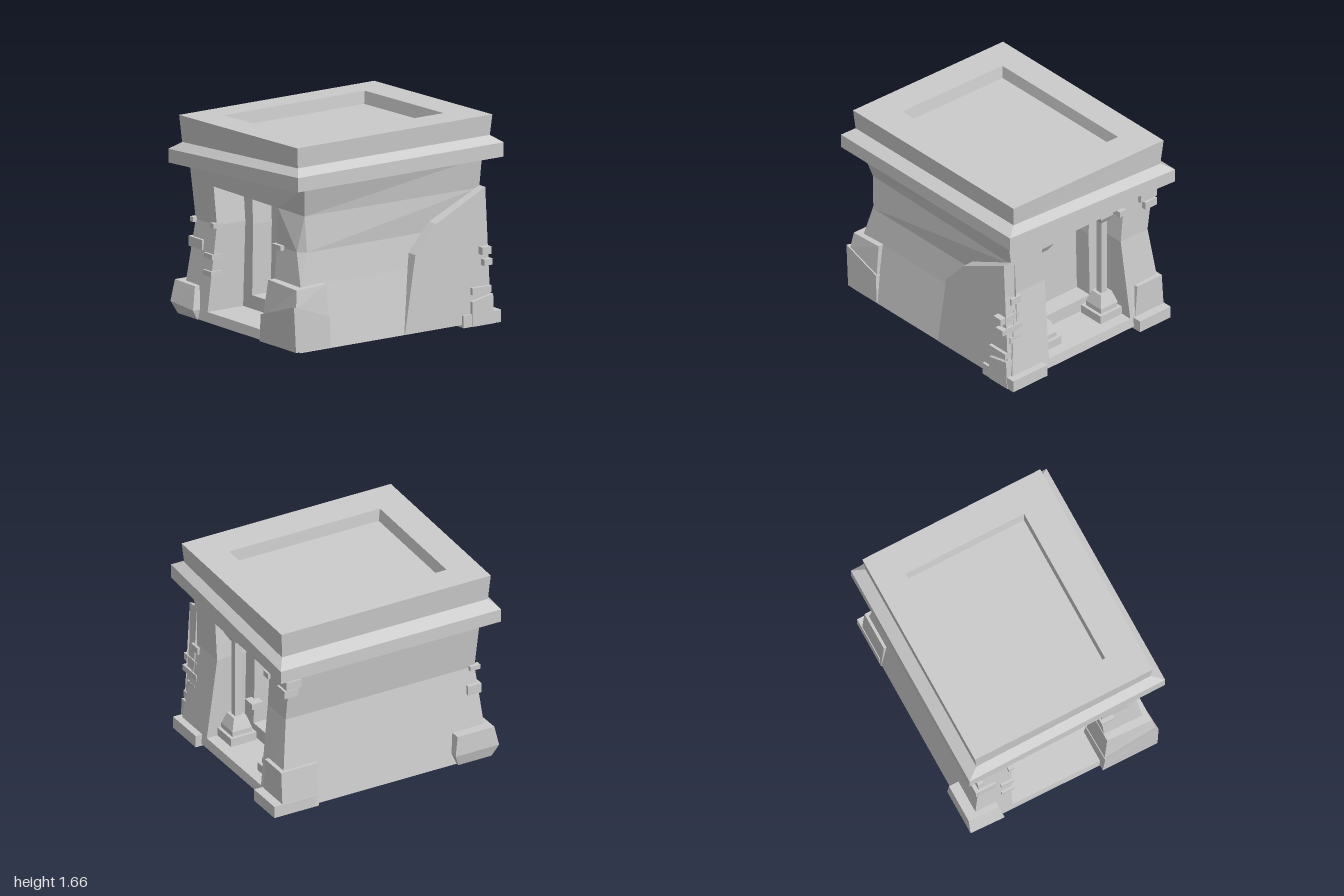
import * as THREE from 'three';

const material = new THREE.MeshStandardMaterial({ color: 0xcccccc, flatShading: true, side: THREE.DoubleSide });

// Skins a list of point loops; closed loops may be capped at either end.
function loft(name, rings, { closed = true, capStart = closed, capEnd = closed } = {}) {
  const pos = [];
  const tri = (...pts) => pts.forEach((p) => pos.push(...p));
  const n = rings[0].length;
  for (let i = 0; i < rings.length - 1; i++) {
    for (let j = 0; j < (closed ? n : n - 1); j++) {
      const k = (j + 1) % n;
      const a = rings[i][j], b = rings[i][k], c = rings[i + 1][k], d = rings[i + 1][j];
      tri(a, b, c);
      tri(a, c, d);
    }
  }
  const first = rings[0], last = rings[rings.length - 1];
  for (let j = 1; j < n - 1; j++) {
    if (capStart) tri(first[0], first[j + 1], first[j]);
    if (capEnd) tri(last[0], last[j], last[j + 1]);
  }
  const geometry = new THREE.BufferGeometry();
  geometry.setAttribute('position', new THREE.Float32BufferAttribute(pos, 3));
  geometry.computeVertexNormals();
  const mesh = new THREE.Mesh(geometry, material);
  mesh.name = name;
  return mesh;
}

// Rectangular loop whose height may differ between its -x and +x edges.
const rect = (x0, x1, z0, z1, yl, yr = yl) => [[x0, yl, z1], [x1, yr, z1], [x1, yr, z0], [x0, yl, z0]];

function brick(name, x0, x1, y0, y1, z0, z1) {
  const mesh = new THREE.Mesh(new THREE.BoxGeometry(x1 - x0, y1 - y0, z1 - z0), material);
  mesh.position.set((x0 + x1) / 2, (y0 + y1) / 2, (z0 + z1) / 2);
  mesh.name = name;
  return mesh;
}

// Waisted wall profiles
const lerp = THREE.MathUtils.lerp;
const frontZ = (y) => (y < 0.79 ? lerp(0.93, 0.855, (y - 0.02) / 0.77) : lerp(0.855, 0.87, (y - 0.79) / 0.54));
const backZ = (y) => (y < 0.79 ? lerp(-0.93, -0.84, (y - 0.02) / 0.77) : -0.842);
const leftChain = [[-0.795, 0.02], [-0.7, 0.79], [-0.765, 1.236]];
const rightChain = [[0.795, 0.02], [0.725, 0.53], [0.7, 0.79], [0.725, 1.08], [0.76, 1.332]];
const opening = [[-0.45, 0.1], [0.4, 0.1], [0.385, 0.53], [0.375, 0.79], [0.405, 1.1], [0.405, 1.1], [-0.45, 1.1], [-0.42, 0.79]];
const niche = [[-0.33, 0.21], [0.26, 0.21], [0.25, 0.5], [0.243, 0.78], [0.26, 1], [0.26, 1], [-0.33, 1], [-0.317, 0.78]];

function buildBody() {
  const body = new THREE.Group();
  body.name = 'body';
  const front = ([x, y]) => [x, y, frontZ(y)];
  const back = ([x, y]) => [x, y, backZ(y)];
  const at = (loop, z) => loop.map(([x, y]) => [x, y, z]);
  const outline = (right, place) => [place(leftChain[0]), ...right, place(leftChain[2]), place(leftChain[1])];

  // Chipped front corner: the front edge and side edge part at the waist
  const chipFront = rightChain.map(front);
  const chipSide = rightChain.map(front);
  chipFront[2] = [0.64, 0.79, 0.855];
  chipSide[2] = [0.7, 0.79, 0.8];
  chipFront[3] = chipSide[3] = [0.69, 1.08, 0.815];
  const backRight = rightChain.map(back);

  // Walls with a stepped recess, front and back
  const frontRings = [outline(chipFront, front), opening.map(front), at(opening, 0.58), at(niche, 0.58), at(niche, 0.4)];
  const backRings = [outline(backRight, back), opening.map(back), at(opening, -0.58), at(niche, -0.58), at(niche, -0.43)];
  body.add(loft('frontWall', frontRings, { capStart: false, capEnd: true }));
  body.add(loft('backWall', backRings.map((r) => [...r].reverse()), { capStart: false, capEnd: true }));

  // Side walls
  const open = { closed: false };
  body.add(loft('chippedCorner', chipFront.map((p, i) => [p, chipSide[i]]), open));
  body.add(loft('leftWall', chipSide.map((p, i) => [p, backRight[i]]), open));
  body.add(loft('rightWall', leftChain.map((p) => [back(p), front(p)]), open));

  // Thick slanted slab on the side wall
  const slab = [[-0.07, 0.025], [-0.17, 0.65], [-0.37, 0.87], [-0.843, 1.1], [-0.843, 0.79], [-0.9, 0.025]];
  body.add(loft('sideSlab', [0.69, 0.803].map((x) => slab.map(([z, y]) => [x, y, z]).reverse())));
  return body;
}

function buildRoof() {
  // Cornice, chamfer, flared parapet and sunken top
  return loft('roof', [
    rect(-0.865, 0.86, -0.98, 1, 1.23, 1.335),
    rect(-0.865, 0.86, -0.98, 1, 1.34, 1.45),
    rect(-0.77, 0.765, -0.915, 0.935, 1.405, 1.5),
    rect(-0.79, 0.778, -0.93, 0.95, 1.62, 1.665),
    rect(-0.55, 0.495, -0.665, 0.69, 1.627, 1.657),
    rect(-0.54, 0.488, -0.652, 0.675, 1.525, 1.555),
  ]);
}

function buildColumn(x) {
  const column = new THREE.Group();
  column.name = 'column';
  const sq = (h, y) => rect(-h, h, -h, h, y);
  column.add(loft('plinth', [sq(0.115, 0.1), sq(0.115, 0.17)]));
  column.add(loft('columnBase', [sq(0.088, 0.17), sq(0.088, 0.21), sq(0.055, 0.31)]));
  column.add(loft('shaft', [sq(0.03, 0.31), sq(0.03, 0.99)]));
  column.add(loft('capital', [sq(0.04, 0.97), sq(0.075, 1.03), sq(0.075, 1.1)]));
  column.position.set(x, 0, -0.71);
  return column;
}

function buildCornerStones() {
  const stones = new THREE.Group();
  stones.name = 'cornerStones';
  // Front left corner: cracked stone in two pieces
  stones.add(loft('lowerCrackedStone', [
    [[0.32, 0.03, 0.98], [0.803, 0.03, 0.98], [0.803, 0.03, 0.645], [0.32, 0.03, 0.645]],
    [[0.34, 0.25, 0.985], [0.803, 0.4, 1], [0.803, 0.28, 0.655], [0.34, 0.2, 0.655]],
  ]));
  stones.add(loft('upperCrackedStone', [
    [[0.345, 0.23, 0.965], [0.79, 0.38, 0.97], [0.79, 0.26, 0.66], [0.345, 0.18, 0.66]],
    [[0.38, 0.53, 0.94], [0.77, 0.52, 0.95], [0.77, 0.535, 0.66], [0.38, 0.53, 0.66]],
  ]));
  // Front right corner: single bulging stone
  stones.add(loft('frontStone', [
    rect(-0.82, -0.565, 0.64, 0.94, 0.02),
    rect(-0.85, -0.55, 0.6, 0.99, 0.12, 0.1),
    rect(-0.845, -0.58, 0.62, 0.95, 0.29, 0.285),
  ]));
  // Back left corner: low sloping block with a footing
  stones.add(loft('backBlock', [
    rect(0.47, 0.83, -0.91, -0.7, 0),
    [[0.48, 0.2, -0.7], [0.83, 0.2, -0.7], [0.83, 0.24, -0.9], [0.48, 0.24, -0.9]],
  ]));
  stones.add(brick('backFooting', 0.47, 0.825, 0, 0.1, -0.98, -0.62));
  // Back right corner: tall stone with a footing
  stones.add(loft('backStone', [
    rect(-0.8, -0.49, -0.925, -0.6, 0),
    rect(-0.775, -0.52, -0.925, -0.6, 0.37),
  ]));
  stones.add(brick('backFooting', -0.8, -0.48, 0, 0.1, -1, -0.63));
  return stones;
}

function buildBricks() {
  const bricks = new THREE.Group();
  bricks.name = 'bricks';
  [
    // Front wall
    [-0.75, -0.57, 0.57, 0.65, 0.77, 0.89],
    [-0.53, -0.42, 0.52, 0.56, 0.8, 0.9],
    [-0.53, -0.42, 0.385, 0.425, 0.8, 0.91],
    [-0.46, -0.415, 0.77, 0.81, 0.8, 0.89],
    [0.36, 0.475, 0.77, 0.81, 0.78, 0.89],
    [-0.73, -0.685, 0.77, 0.81, 0.8, 0.89],
    // Back right corner
    [-0.77, -0.6, 1.09, 1.16, -0.875, -0.74],
    [-0.76, -0.64, 1.015, 1.08, -0.885, -0.76],
    // Back left corner
    [0.66, 0.855, 0.57, 0.63, -0.865, -0.78],
    [0.64, 0.85, 0.48, 0.53, -0.88, -0.8],
    [0.64, 0.74, 0.71, 0.77, -0.865, -0.78],
    [0.66, 0.77, 0.375, 0.43, -0.885, -0.8],
    [0.5, 0.83, 0.255, 0.31, -0.885, -0.7],
    // Back recess
    [0.18, 0.29, 0.38, 0.43, -0.64, -0.54],
    [-0.46, -0.39, 1.04, 1.09, -0.865, -0.78],
  ].forEach((b) => bricks.add(brick('brick', ...b)));
  return bricks;
}

export function createModel() {
  const model = new THREE.Group();
  model.name = 'stoneBuilding';
  model.add(buildBody(), buildRoof(), buildColumn(0.3), buildColumn(-0.34), buildCornerStones(), buildBricks());
  return model;
}
